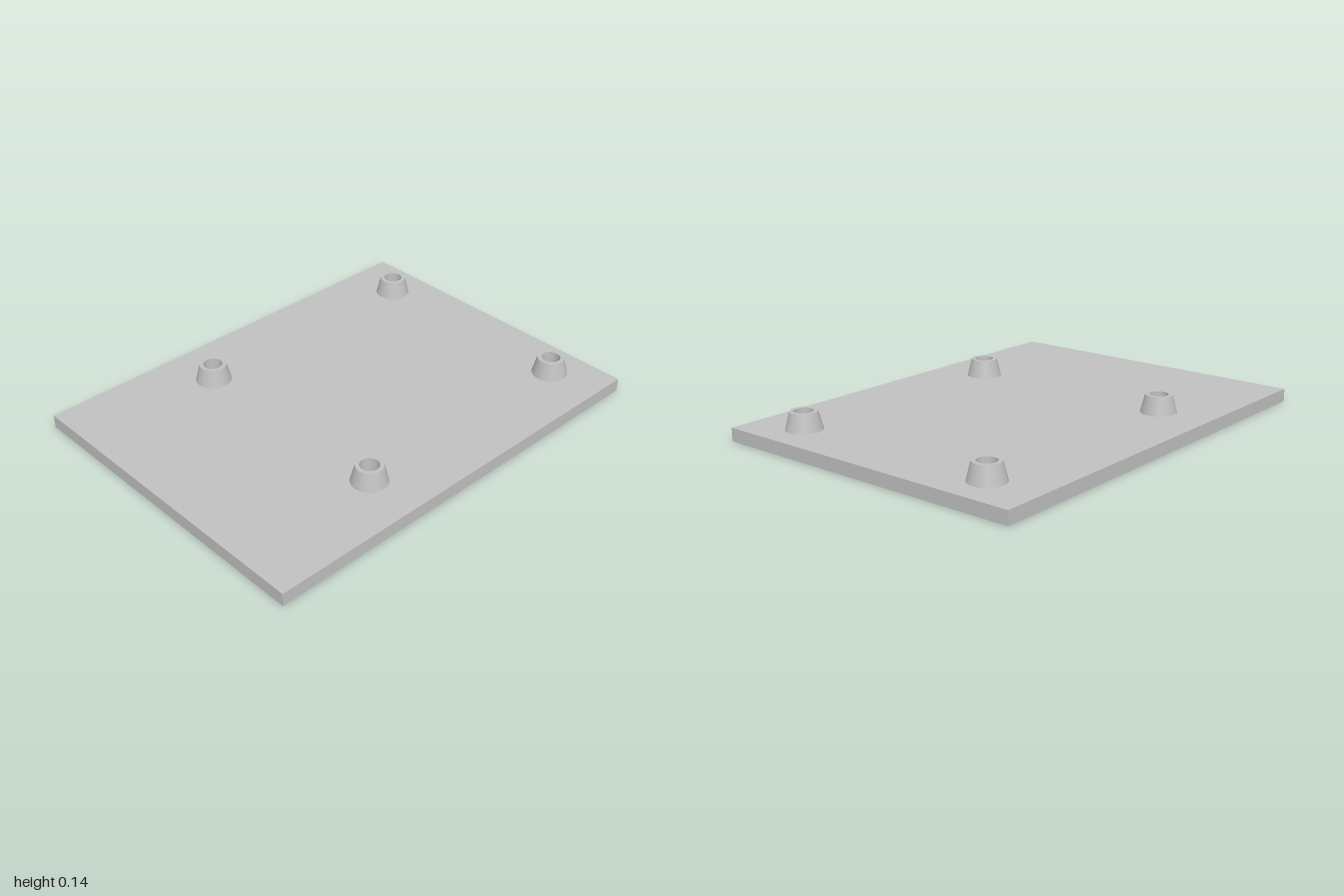
import * as THREE from 'three';
import { mergeGeometries } from 'three/addons/utils/BufferGeometryUtils.js';

// Revolve each profile segment separately so the edges between them stay sharp
function sharpLathe(profile, sides) {
  const bands = [];
  for (let i = 0; i < profile.length - 1; i++) {
    const ends = [profile[i], profile[i + 1]].map(([r, y]) => new THREE.Vector2(r, y));
    bands.push(new THREE.LatheGeometry(ends, sides));
  }
  return mergeGeometries(bands);
}

export function createModel() {
  const model = new THREE.Group();
  model.name = 'mountingPlate';

  const grey = new THREE.MeshStandardMaterial({ color: 0xc0c0c0 });
  grey.name = 'lightGrey';

  const thickness = 0.06;

  // Flat base plate
  const plate = new THREE.Mesh(new THREE.BoxGeometry(2, thickness, 1.5), grey);
  plate.name = 'basePlate';
  plate.position.y = thickness / 2;
  model.add(plate);

  // Tapered standoffs: outer cone, rim, bore wall; the plate closes the bore
  const standoffGeometry = sharpLathe([[0.08, 0], [0.06, 0.08], [0.042, 0.08], [0.042, 0]], 48);
  for (const x of [-0.32, 0.82]) {
    for (const z of [-0.5, 0.5]) {
      const standoff = new THREE.Mesh(standoffGeometry, grey);
      standoff.name = (z > 0 ? 'front' : 'back') + (x > 0 ? 'Left' : 'Right') + 'Standoff';
      standoff.position.set(x, thickness, z);
      model.add(standoff);
    }
  }

  return model;
}
